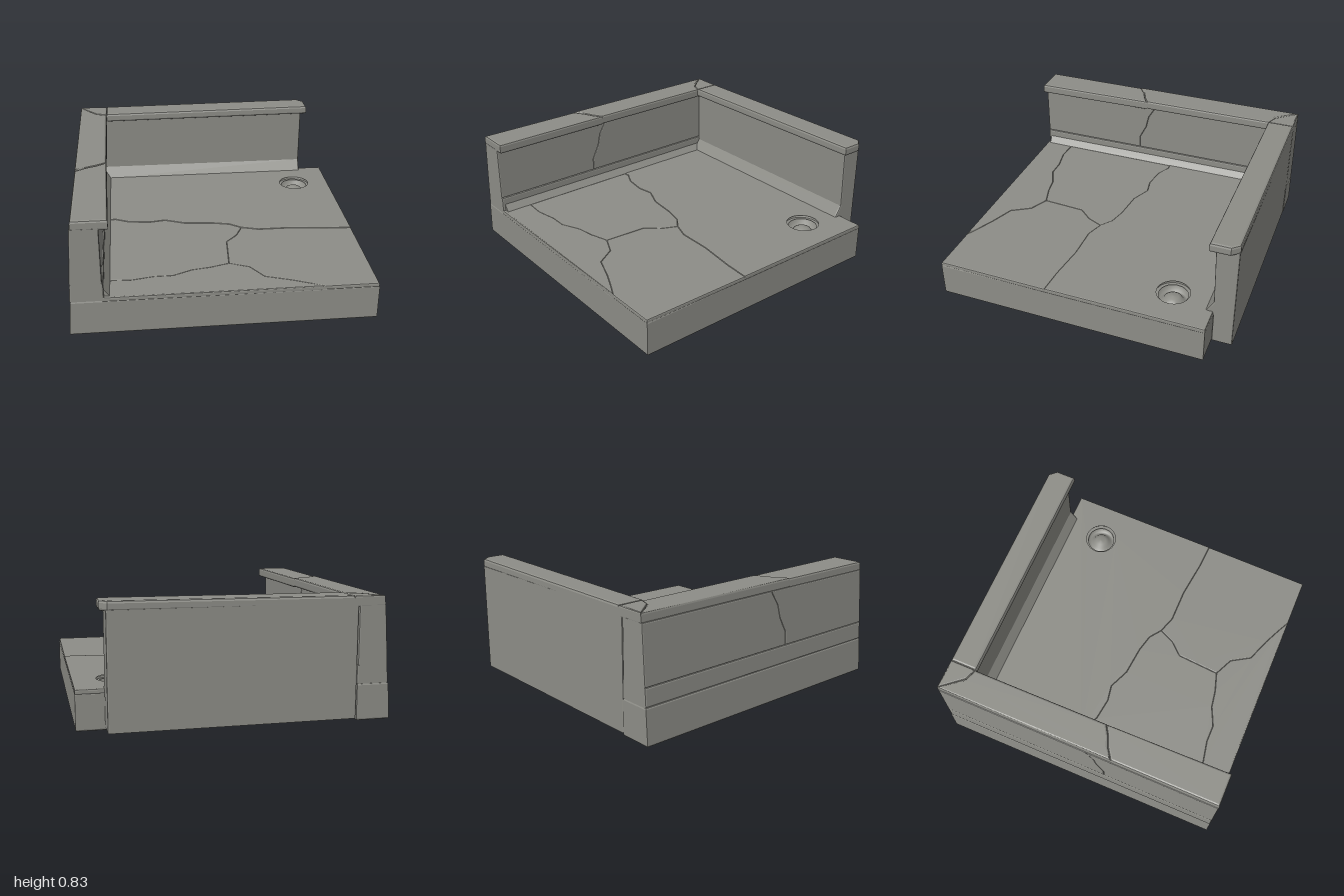
import * as THREE from 'three';

const stone = new THREE.MeshStandardMaterial({ color: 0x8d8d87 });
stone.name = 'weathered stone';

// Bevelled prism that keeps its outline and total depth
function prism(pts, depth, b, hole) {
  const shape = new THREE.Shape(pts.map(([x, y]) => new THREE.Vector2(x, y)));
  if (hole) {
    const path = new THREE.Path();
    path.absarc(hole[0], hole[1], hole[2], 0, Math.PI * 2, true);
    shape.holes.push(path);
  }
  const g = new THREE.ExtrudeGeometry(shape, {
    depth: depth - 2 * b, bevelEnabled: b > 0, bevelSize: b, bevelThickness: b,
    bevelOffset: -b, bevelSegments: 2, curveSegments: 16,
  });
  return g.translate(0, 0, b);
}

// Plan outline in (x, z), raised from y0 to y1
function slab(pts, y0, y1, b = 0.01, hole) {
  const flip = hole && [hole[0], -hole[1], hole[2]];
  return prism(pts.map(([x, z]) => [x, -z]), y1 - y0, b, flip)
    .rotateX(-Math.PI / 2).translate(0, y0, 0);
}

// Side outline in (z, y), running from x0 to x1
function run(pts, x0, x1, b = 0.01) {
  return prism(pts.map(([z, y]) => [-z, y]), x1 - x0, b)
    .rotateY(Math.PI / 2).translate(x0, 0, 0);
}

// The outer left face leans inwards towards the top
function batter(g) {
  const p = g.attributes.position;
  for (let i = 0; i < p.count; i++) {
    if (p.getX(i) < -0.9) p.setX(i, p.getX(i) + 0.062 * p.getY(i));
  }
  g.computeVertexNormals();
  return g;
}

export function createModel() {
  const model = new THREE.Group();
  model.name = 'walledStoneCorner';
  const add = (name, g, mat = stone) => {
    const m = new THREE.Mesh(g, mat);
    m.name = name;
    model.add(m);
    return m;
  };

  // Base with the drain opening
  const dx = 0.72, dz = -0.57;
  add('base', batter(slab([[-1, -1], [-0.775, -1], [-0.775, -0.86], [0.99, -0.86],
    [0.975, 1], [-0.995, 1]], 0.01, 0.252, 0.012, [dx, dz, 0.11])));

  // Floor pieces, divided along the cracks
  const crackA = [[-0.78, -0.06], [-0.7, -0.07], [-0.6, -0.02], [-0.45, 0], [-0.34, -0.02],
    [-0.2, 0.04], [0, 0.06], [0.12, 0.09], [0.2, 0.15]];
  const crackB = [[0.2, 0.15], [0.32, 0.19], [0.55, 0.19], [0.8, 0.22], [0.982, 0.23]];
  const crackC = [[0.2, 0.15], [0.15, 0.26], [0.07, 0.35], [0.06, 0.5], [0.05, 0.65]];
  const crackD = [[-0.78, 0.79], [-0.6, 0.8], [-0.45, 0.77], [-0.33, 0.77], [-0.2, 0.71],
    [-0.08, 0.69], [0.05, 0.65]];
  const crackE = [[0.05, 0.65], [0.18, 0.71], [0.26, 0.84], [0.42, 0.9], [0.53, 0.95], [0.63, 1]];
  const back = (c) => [...c].reverse();
  const skip = (c) => c.slice(1);
  const y0 = 0.24;
  add('floorBack', slab([[-0.78, -0.86], [0.99, -0.86], ...back(crackB), ...skip(back(crackA))],
    y0, 0.272, 0.008, [dx, dz, 0.12]));
  add('floorLeft', slab([...crackA, ...skip(crackC), ...skip(back(crackD))], y0, 0.269, 0.008));
  add('floorRight', slab([...crackB, [0.972, 1], ...back(crackE), ...back(crackC).slice(1, -1)],
    y0, 0.269, 0.008));
  add('floorFront', slab([...crackD, ...skip(crackE), [-0.78, 1]], y0, 0.27, 0.008));

  // Drain dish with a raised centre
  const dish = stone.clone();
  dish.name = 'drain stone';
  dish.side = THREE.DoubleSide;
  const dishPts = [[0, 0.245], [0.035, 0.24], [0.06, 0.226], [0.075, 0.2], [0.095, 0.198],
    [0.112, 0.225], [0.125, 0.266]].map(([r, y]) => new THREE.Vector2(r, y));
  add('drain', new THREE.LatheGeometry(dishPts, 32), dish).position.set(dx, 0, dz);

  // Left wall: low course, then two upper blocks meeting at a crack
  add('leftWallCourse', batter(run([[-1, 0.25], [1, 0.25], [1, 0.37], [-1, 0.37]], -1, -0.77)));
  const split = [[0.2, 0.37], [0.2, 0.46], [0.15, 0.56], [0.13, 0.65], [0.07, 0.75]];
  add('leftWallFront', batter(run([...split, [1, 0.75], [1, 0.37]], -1, -0.777, 0.008)));
  add('leftWallBack', batter(run([...split, [-1, 0.75], [-1, 0.37]], -1, -0.777, 0.008)));

  // Left coping, with a mitre crack at the corner
  const xo = -0.995;
  add('leftCopingFront', batter(slab([[xo, 0.25], [-0.87, 0.2], [-0.8, 0.17], [-0.735, 0.13],
    [-0.72, 1], [xo, 1]], 0.738, 0.806, 0.014)));
  add('leftCopingMiddle', batter(slab([[xo, 0.25], [-0.87, 0.2], [-0.8, 0.17], [-0.735, 0.13],
    [-0.742, -0.82], [-0.82, -0.85], [xo, -1]], 0.742, 0.81, 0.014)));
  add('copingCorner', batter(slab([[xo, -1], [-0.82, -0.85], [-0.742, -0.82], [-0.742, -1]],
    0.742, 0.812, 0.01)));

  // Back wall with a sloped foot, and its coping rising slightly to the right
  add('backWall', run([[-0.998, 0.025], [-1, 0.77], [-0.85, 0.77], [-0.86, 0.35], [-0.81, 0.268],
    [-0.81, 0.25], [-0.862, 0.24], [-0.862, 0.025]], -0.772, 0.81));
  const coping = slab([[-0.742, -1], [0.8, -1], [0.845, -0.95], [0.845, -0.815], [-0.742, -0.815]],
    0.75, 0.815, 0.016);
  const p = coping.attributes.position;
  for (let i = 0; i < p.count; i++) p.setY(i, p.getY(i) + 0.007 * (p.getX(i) + 0.74));
  coping.computeVertexNormals();
  add('backCoping', coping);

  // Sloped fillet along the foot of the left wall
  add('leftFillet', prism([[-0.79, 0.25], [-0.735, 0.25], [-0.735, 0.27], [-0.772, 0.32],
    [-0.79, 0.32]], 1.83, 0).translate(0, 0, -0.85));

  // Small studs underneath
  for (const [x, z] of [[0.84, 0.89], [0.84, -0.73], [-0.65, 0.89], [-0.86, -0.88]]) {
    add('stud', new THREE.CylinderGeometry(0.03, 0.026, 0.02, 16)).position.set(x, 0.01, z);
  }
  return model;
}
